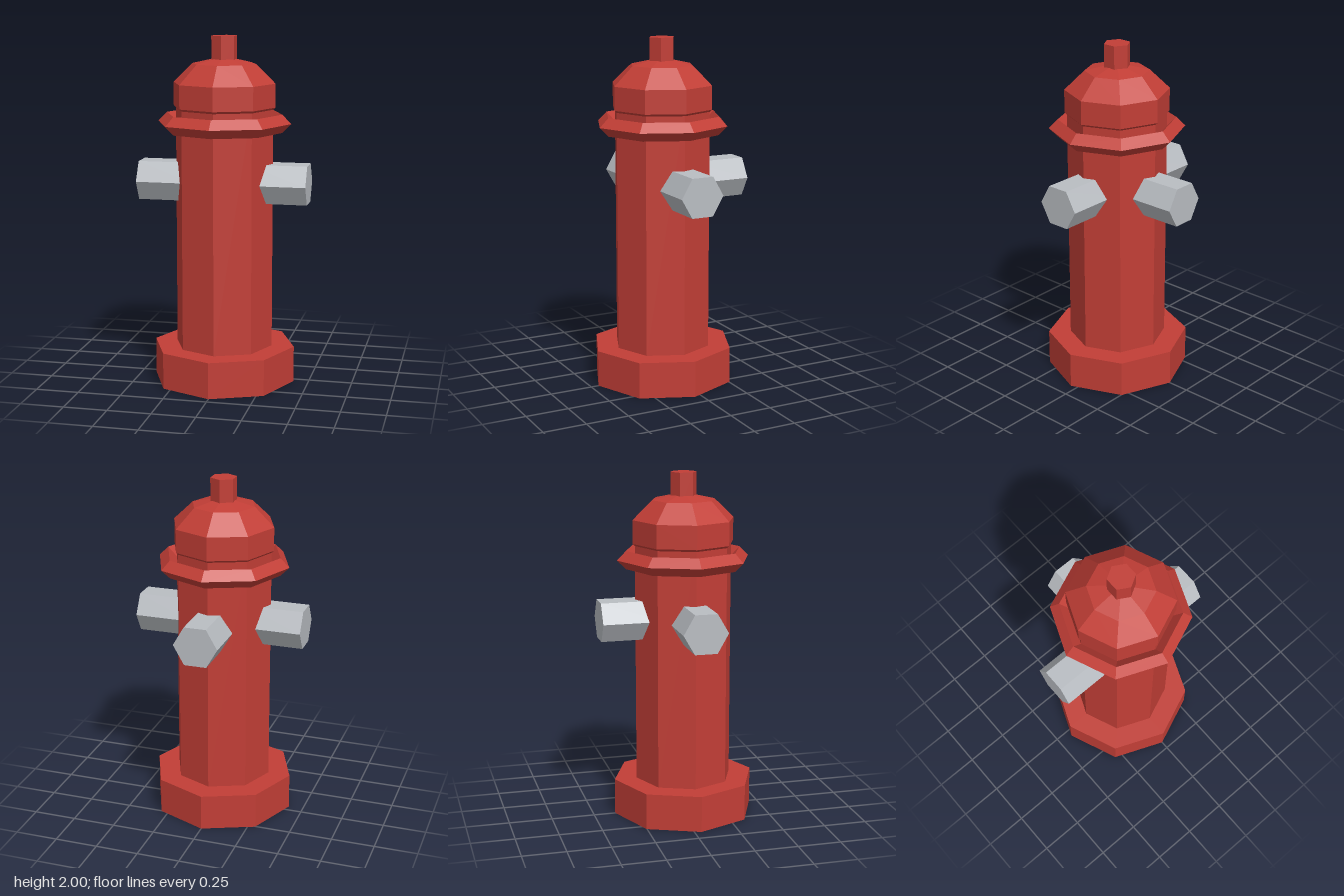
import * as THREE from 'three';

export function createModel() {
  const group = new THREE.Group();
  group.name = 'fireHydrant';

  const flat = (name, color) => {
    const m = new THREE.MeshStandardMaterial({ color, flatShading: true });
    m.name = name;
    return m;
  };
  const red = flat('red paint', 0xc23e36);
  const grey = flat('grey metal', 0xb9bdc2);

  const axisZ = 0.04; // the barrel sits slightly forward of the origin
  const add = (name, geometry, material, x, y, z) => {
    const mesh = new THREE.Mesh(geometry, material);
    mesh.name = name;
    mesh.position.set(x, y, z);
    group.add(mesh);
    return mesh;
  };
  // upright prism from y0 to y1
  const prism = (name, radius, y0, y1, sides) =>
    add(name, new THREE.CylinderGeometry(radius, radius, y1 - y0, sides), red, 0, (y0 + y1) / 2, axisZ);

  // base, barrel and operating nut
  prism('base', 0.414, 0, 0.21, 8);
  prism('barrel', 0.283, 0.21, 1.63, 8);
  prism('topNut', 0.076, 1.8, 2, 6);

  // diamond-section flange around the barrel
  const ring = new THREE.TorusGeometry(0.335, 0.052, 4, 8);
  ring.rotateX(Math.PI / 2);
  add('flange', ring, red, 0, 1.51, axisZ);

  // faceted, flattened bonnet
  const dome = new THREE.SphereGeometry(0.311, 8, 5);
  dome.scale(1, 0.7, 1);
  add('bonnet', dome, red, 0, 1.668, axisZ);

  // hexagonal outlets, flat on top
  const outletY = 1.17, outletR = 0.128, inner = 0.15, outer = 0.49;
  for (const [name, side] of [['leftOutlet', 1], ['rightOutlet', -1]]) {
    const hex = new THREE.CylinderGeometry(outletR, outletR, outer - inner, 6);
    hex.rotateZ(Math.PI / 2);
    add(name, hex, grey, side * (inner + outer) / 2, outletY, axisZ);
  }
  const back = new THREE.CylinderGeometry(outletR, outletR, 0.345, 6);
  back.rotateY(Math.PI / 2);
  back.rotateX(Math.PI / 2);
  add('backOutlet', back, grey, 0, outletY, -0.455 + 0.1725);

  return group;
}
